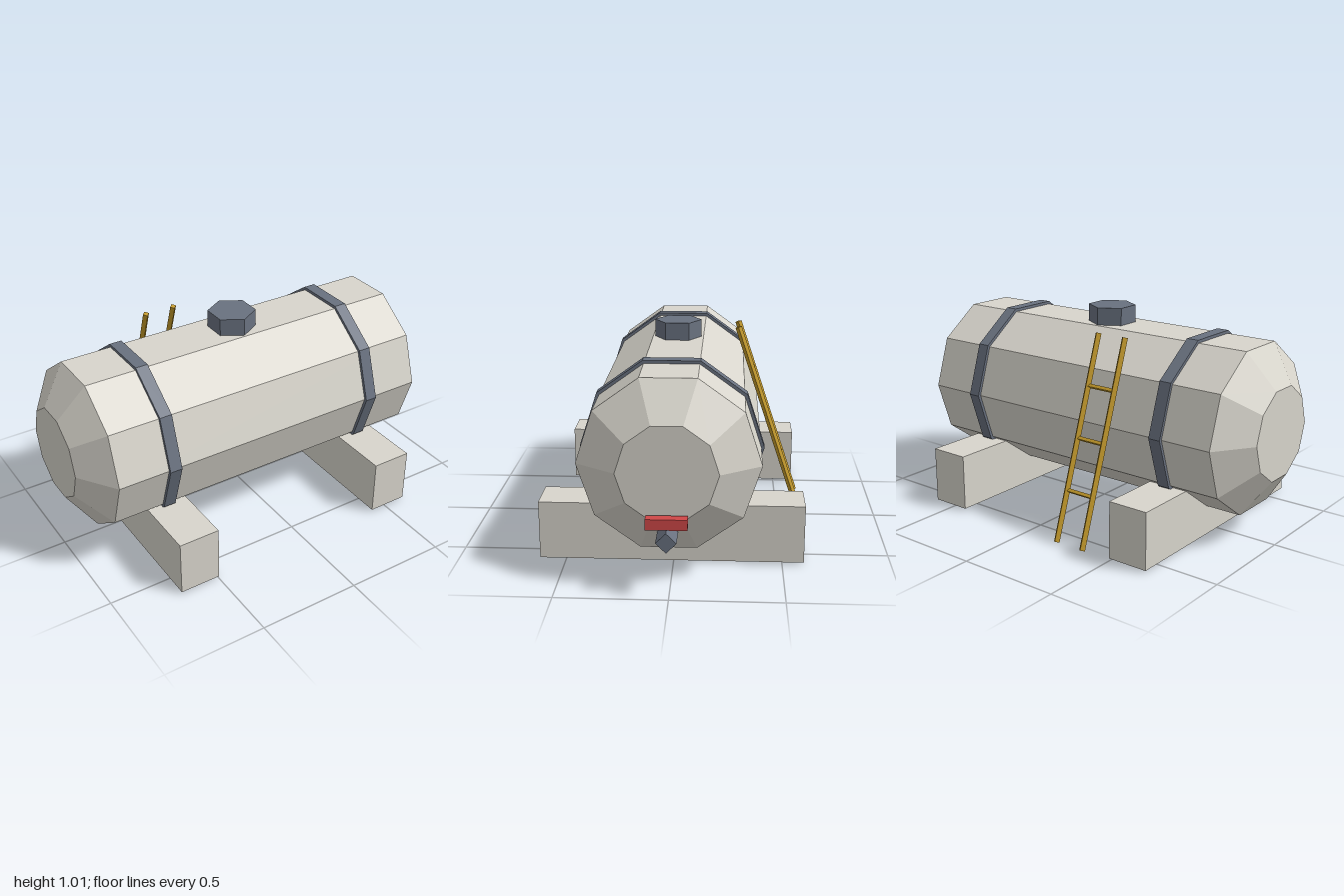
import * as THREE from 'three';

const paint = (name, color) => {
  const m = new THREE.MeshStandardMaterial({ color, flatShading: true });
  m.name = name;
  return m;
};

export function createModel() {
  const shell = paint('off-white shell', 0xd8d5cc);
  const steel = paint('blue-grey steel', 0x69717f);
  const yellow = paint('ladder yellow', 0xc49a2a);
  const red = paint('valve red', 0xd04848);

  const model = new THREE.Group();
  model.name = 'storageTank';
  const AXIS_Y = 0.54, AXIS_Z = 0.01;

  const add = (name, geometry, material, x, y, z, parent = model) => {
    const mesh = new THREE.Mesh(geometry, material);
    mesh.name = name;
    mesh.position.set(x, y, z);
    parent.add(mesh);
    return mesh;
  };
  // Faceted bar between two points
  const bar = (name, a, b, r, sides, material, parent = model) => {
    const dir = new THREE.Vector3().subVectors(b, a);
    const mid = new THREE.Vector3().addVectors(a, b).multiplyScalar(0.5);
    const mesh = add(name, new THREE.CylinderGeometry(r, r, dir.length(), sides), material, mid.x, mid.y, mid.z, parent);
    mesh.quaternion.setFromUnitVectors(new THREE.Vector3(0, 1, 0), dir.normalize());
    return mesh;
  };
  const V = (x, y, z) => new THREE.Vector3(x, y, z);

  // Ten-sided tank with tapered ends, turned about the x axis
  const profile = [[0, -1], [0.222, -1], [0.405, -0.875], [0.405, 0.795], [0.222, 0.92], [0, 0.92]];
  const tank = new THREE.LatheGeometry(profile.map(([r, x]) => new THREE.Vector2(r, x)), 10);
  tank.rotateZ(-Math.PI / 2);
  add('tank', tank, shell, 0, AXIS_Y, AXIS_Z);

  // Straps and the block supports below them
  for (const x of [-0.597, 0.515]) {
    bar('strap', V(x - 0.03, AXIS_Y, AXIS_Z), V(x + 0.03, AXIS_Y, AXIS_Z), 0.42, 10, steel);
    add('support', new THREE.BoxGeometry(0.2, 0.275, 1.22), shell, x, 0.1475, AXIS_Z);
  }

  // Hexagonal filler hatch
  add('hatch', new THREE.CylinderGeometry(0.115, 0.115, 0.11, 6), steel, -0.04, 0.955, AXIS_Z);

  // Leaning ladder at the back
  const ladder = new THREE.Group();
  ladder.name = 'ladder';
  model.add(ladder);
  const rails = [-0.345, -0.193];
  const foot = V(0, 0.006, -0.605), head = V(0, 0.942, -0.29);
  for (const x of rails) {
    bar('ladderRail', foot.clone().setX(x), head.clone().setX(x), 0.0165, 4, yellow, ladder);
  }
  for (const t of [0.25, 0.5, 0.75]) {
    const p = foot.clone().lerp(head, t);
    bar('ladderRung', p.clone().setX(rails[0]), p.clone().setX(rails[1]), 0.011, 4, yellow, ladder);
  }

  // Outlet pipe and valve handle
  bar('outletPipe', V(0.84, 0.262, AXIS_Z), V(1, 0.262, AXIS_Z), 0.045, 4, steel);
  add('valveHandle', new THREE.BoxGeometry(0.048, 0.048, 0.18), red, 0.957, 0.337, AXIS_Z);

  return model;
}
